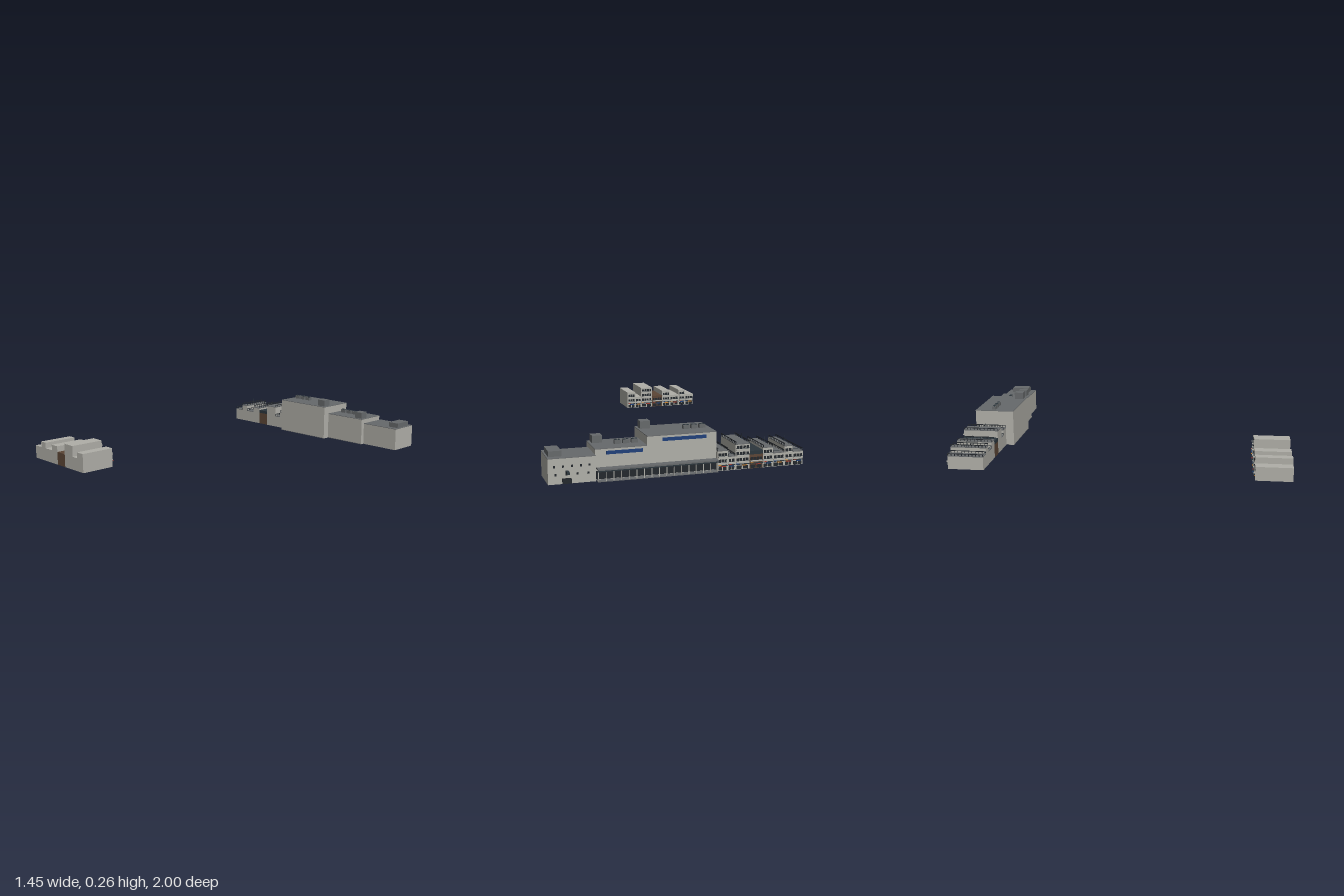
import * as THREE from 'three';
import { mergeGeometries } from 'three/addons/utils/BufferGeometryUtils.js';

const paint = (name, color) => {
  const m = new THREE.MeshStandardMaterial({ color });
  m.name = name;
  return m;
};

// one box from its limits
const block = (x0, x1, y0, y1, z0, z1) =>
  new THREE.BoxGeometry(x1 - x0, y1 - y0, z1 - z0)
    .translate((x0 + x1) / 2, (y0 + y1) / 2, (z0 + z1) / 2);

export function createModel() {
  const root = new THREE.Group();
  root.name = 'shoppingStreet';
  const wall = paint('concrete', 0xb0afa8);
  const roof = paint('roofGrey', 0x66696b);
  const brown = paint('brownBrick', 0x5c4636);
  const slate = paint('darkSlate', 0x2c363d);
  const glass = paint('darkGlass', 0x24282d);
  const blue = paint('signBlue', 0x20407a);
  const red = paint('awningRed', 0xa5382c);
  const orange = paint('signOrange', 0xd0842f);

  // merges several boxes of one colour into one named mesh
  const add = (parent, name, mat, ...boxes) => {
    const mesh = new THREE.Mesh(mergeGeometries(boxes.map(b => block(...b))), mat);
    mesh.name = name;
    parent.add(mesh);
  };

  // a row of n window plates on a wall of constant z, each filling part of its bay
  const windowRow = (x0, x1, y0, y1, z, n, fill) =>
    Array.from({ length: n }, (_, i) => {
      const bay = (x1 - x0) / n, cx = x0 + (i + 0.5) * bay, w = bay * fill / 2;
      return [cx - w, cx + w, y0, y1, z - 0.002, z + 0.002];
    });

  // ---- shop rows: x limits and heights shared by both sides of the street
  const shops = [
    [-0.725, -0.66, 0.08], [-0.66, -0.61, 0.115], [-0.61, -0.54, 0.08], [-0.54, -0.48, 0.115],
    [-0.48, -0.40, 0.08], [-0.40, -0.315, 0.145], [-0.315, -0.27, 0.08], [-0.27, -0.21, 0.115],
  ];
  const accents = [orange, blue, red];

  // street side of a shop: windows, balconies, awning and signs
  const facade = (g, x0, x1, h, z, k) => {
    const a = x0 + 0.004, b = x1 - 0.004;
    const bays = Math.round((x1 - x0) / 0.022);
    const glazing = windowRow(a, b, 0.003, 0.022, z, 2, 0.8), slabs = [], rails = [];
    for (let y = 0.04; y < h - 0.025; y += 0.035) {
      glazing.push(...windowRow(a, b, y + 0.007, y + 0.024, z, bays, 0.72));
      slabs.push([a, b, y, y + 0.006, z - 0.008, z]);
      rails.push([a, b, y + 0.009, y + 0.011, z - 0.008, z - 0.006]);
    }
    add(g, 'windows', glass, ...glazing);
    add(g, 'balconySlabs', wall, ...slabs);
    add(g, 'balconyRails', slate, ...rails);
    add(g, 'awning', slate, [a, b, 0.030, 0.033, z - 0.012, z]);
    const s = x0 + (x1 - x0) * 0.2;
    add(g, 'shopSign', accents[k % 3], [s, s + 0.028, 0.0225, 0.030, z - 0.006, z]);
    add(g, 'awningPanel', accents[(k + 1) % 3],
      [b - 0.016, b, 0.033, 0.035, z - 0.012, z - 0.002]);
  };

  shops.forEach(([x0, x1, h], k) => {
    const isBrown = k === 4;

    // near row, plain back wall
    const near = new THREE.Group();
    near.name = 'nearShop' + (k + 1);
    root.add(near);
    add(near, 'walls', isBrown ? brown : wall, [x0, x1, 0, h, 0.79, 1]);
    facade(near, x0, x1, h, 0.79, k);

    // far row, with grey roofs; the brown shop carries a dark attic
    const far = new THREE.Group();
    far.name = 'farShop' + (k + 1);
    root.add(far);
    const eaves = isBrown ? h : h - 0.004, top = isBrown ? 0.10 : h;
    add(far, 'walls', isBrown ? brown : wall, [x0, x1, 0, eaves, -0.965, -0.755]);
    add(far, 'roof', isBrown ? slate : roof, [x0, x1, eaves, top, -0.966, -0.754]);
    facade(far, x0, x1, h, -0.965, k + 1);
    if (isBrown) return;

    // roof railings along the party walls
    const rails = [];
    for (const x of [x0 + 0.001, x1 - 0.003]) {
      rails.push([x, x + 0.002, h + 0.010, h + 0.014, -0.965, -0.755]);
      for (let i = 0; i <= 10; i++) {
        const z = -0.965 + 0.0207 * i;
        rails.push([x, x + 0.002, h, h + 0.012, z, z + 0.003]);
      }
    }
    add(far, 'roofRailings', glass, ...rails);
    if (h < 0.1) add(far, 'endRailings', slate,
      [x0, x1, h + 0.011, h + 0.013, -0.757, -0.755], [x0, x1, h + 0.011, h + 0.013, -0.965, -0.963]);
    if (k % 2) add(far, 'antenna', slate, [x0 + 0.006, x0 + 0.008, h, h + 0.034, -0.87, -0.868]);
  });

  // ---- large store
  const halls = [
    { name: 'tallHall', x: [-0.21, 0.185], h: 0.22, z: [-0.945, -0.705], sign: [-0.15, 0.10],
      house: [0.115, 0.172, 0.262, -0.775, -0.72], vents: [-0.165, -0.118, -0.071], vz: -0.835 },
    { name: 'middleHall', x: [0.185, 0.47], h: 0.17, z: [-0.945, -0.75], sign: [0.21, 0.41],
      house: [0.40, 0.455, 0.21, -0.82, -0.765], vents: [0.232, 0.28, 0.327], vz: -0.86 },
    { name: 'lowHall', x: [0.47, 0.725], h: 0.14, z: [-0.96, -0.775],
      house: [0.645, 0.715, 0.17, -0.925, -0.81] },
  ];
  for (const { name, x, h, z, sign, house, vents, vz } of halls) {
    const g = new THREE.Group();
    g.name = name;
    root.add(g);
    add(g, 'walls', wall, [x[0], x[1], 0, h - 0.003, z[0], z[1]]);
    add(g, 'roof', roof, [x[0], x[1], h - 0.003, h, z[0], z[1]]);
    add(g, 'roofHouse', roof, [house[0], house[1], h, house[2], house[3], house[4]]);

    if (sign) {
      // roof vents with paired fan covers
      add(g, 'roofVents', roof,
        ...vents.map(v => [v - 0.0175, v + 0.0175, h, h + 0.021, vz - 0.012, vz + 0.012]));
      add(g, 'fanCovers', slate, ...vents.flatMap(v => [-0.009, 0.009].map(s =>
        [v + s - 0.006, v + s + 0.006, h + 0.021, h + 0.023, vz - 0.008, vz + 0.008])));
      add(g, 'signBand', blue, [sign[0], sign[1], h - 0.033, h - 0.014, z[0] - 0.002, z[0]]);
    } else {
      // the low hall has a few street windows, a door and a sign on a bracket
      add(g, 'streetWindows', glass,
        ...windowRow(x[0] + 0.01, x[1] - 0.01, 0.088, 0.1, z[0], 5, 0.22),
        ...windowRow(x[0] + 0.01, x[1] - 0.01, 0.045, 0.057, z[0], 4, 0.18));
      add(g, 'entrance', glass, [0.60, 0.65, 0, 0.03, z[0] - 0.002, z[0]]);
      add(g, 'projectingSign', slate, [0.618, 0.632, 0.058, 0.072, -1, z[0]]);
    }
  }

  // ---- covered walk along the store
  const walk = new THREE.Group();
  walk.name = 'coveredWalk';
  root.add(walk);
  add(walk, 'floor', roof, [-0.209, 0.465, 0, 0.004, -0.985, -0.945]);
  add(walk, 'canopy', roof, [-0.209, 0.465, 0.062, 0.07, -0.99, -0.945]);
  add(walk, 'canopyEdge', slate, [-0.209, 0.465, 0.055, 0.062, -0.988, -0.982]);
  add(walk, 'shopGlazing', glass, [-0.209, 0.465, 0.006, 0.05, -0.948, -0.944]);
  const posts = [];
  for (let i = 0; i <= 16; i++) {
    const x = -0.207 + i * 0.0417;
    posts.push([x, x + 0.004, 0.004, 0.062, -0.985, -0.981]);
  }
  add(walk, 'posts', wall, ...posts);

  // thin foundation, a hair below the hall floors
  add(walk, 'foundation', roof,
    [-0.21, 0.185, -0.0005, 0.003, -0.946, -0.7045], [0.185, 0.469, -0.0005, 0.003, -0.946, -0.7495]);

  return root;
}
